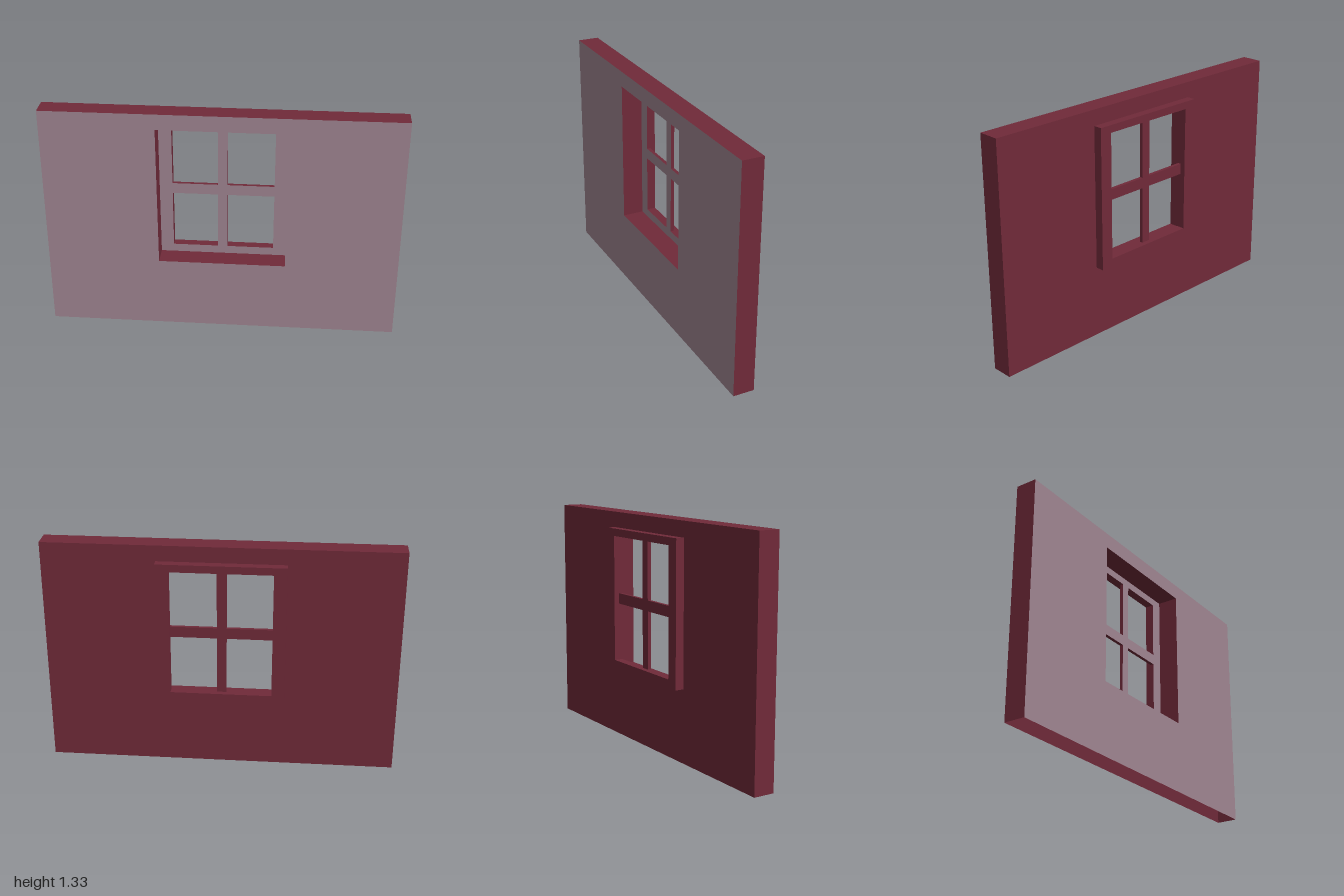
import * as THREE from 'three';

const red = new THREE.MeshStandardMaterial({ color: 0x702a39, side: THREE.DoubleSide });
const mauve = new THREE.MeshStandardMaterial({ color: 0xa08692, side: THREE.DoubleSide });

// Adds a closed rectangle to a Shape or Path
function rect(path, [x0, x1, y0, y1]) {
  path.moveTo(x0, y0);
  path.lineTo(x1, y0);
  path.lineTo(x1, y1);
  path.lineTo(x0, y1);
  path.closePath();
  return path;
}

// Rectangular slab with rectangular holes between z0 and z1. Faces towards +z are
// mauve, all others red; the underside resting on the ground is left open.
function slab(name, outer, holes, z0, z1) {
  const shape = rect(new THREE.Shape(), outer);
  shape.holes = holes.map((h) => rect(new THREE.Path(), h));
  const source = new THREE.ExtrudeGeometry(shape, { depth: z1 - z0, bevelEnabled: false });
  source.translate(0, 0, z0);
  const pos = source.attributes.position;
  const normal = source.attributes.normal;
  const frontFaces = [];
  const otherFaces = [];
  for (let i = 0; i < pos.count; i += 3) {
    const onGround = [0, 1, 2].every((k) => Math.abs(pos.getY(i + k)) < 1e-5);
    if (onGround) continue;
    const list = normal.getZ(i) > 0.5 ? frontFaces : otherFaces;
    for (let k = 0; k < 3; k++) list.push(pos.getX(i + k), pos.getY(i + k), pos.getZ(i + k));
  }
  const group = new THREE.Group();
  group.name = name;
  const parts = [[frontFaces, mauve, 'Front'], [otherFaces, red, 'Body']];
  for (const [points, material, suffix] of parts) {
    const geometry = new THREE.BufferGeometry();
    geometry.setAttribute('position', new THREE.Float32BufferAttribute(points, 3));
    geometry.computeVertexNormals();
    const mesh = new THREE.Mesh(geometry, material);
    mesh.name = name + suffix;
    group.add(mesh);
  }
  return group;
}

export function createModel() {
  const model = new THREE.Group();
  model.name = 'wallWithWindow';

  const opening = [-0.361, 0.361, 0.42, 1.243];
  const glazing = [-0.288, 0.288, 0.467, 1.2];
  const back = -0.036;

  // Wall with window opening
  model.add(slab('wall', [-1, 1, 0, 1.333], [opening], back, 0.086));

  // Window frame standing proud of the back of the wall
  model.add(slab('windowFrame', opening, [glazing], -0.086, back));

  // Glazing bars, flush with the front of the frame
  const barBack = back - 0.02;
  model.add(slab('crossBar', [-0.288, 0.288, 0.802, 0.864], [], barBack, back));
  model.add(slab('lowerMullion', [-0.03, 0.024, 0.467, 0.802], [], barBack, back));
  model.add(slab('upperMullion', [-0.03, 0.024, 0.864, 1.2], [], barBack, back));

  return model;
}
